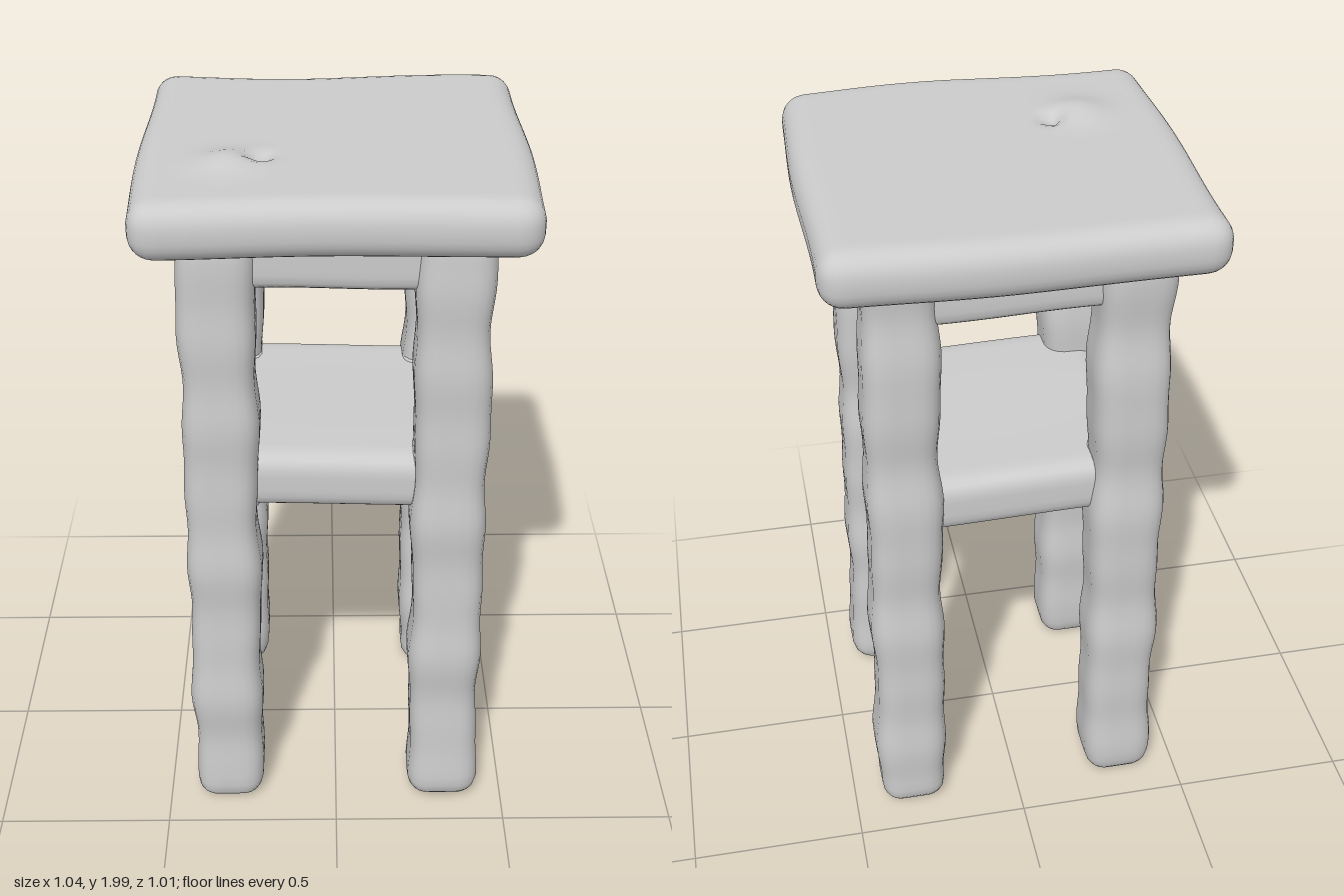
import * as THREE from 'three';
import { mergeVertices } from 'three/addons/utils/BufferGeometryUtils.js';

const material = new THREE.MeshStandardMaterial({ color: 0xcccccc });

// A finely divided box with rounded edges; warp(v) then bends each point.
function softBox(name, size, center, radius, segments, warp) {
  const geo = new THREE.BoxGeometry(...size, ...segments);
  geo.deleteAttribute('uv');
  geo.deleteAttribute('normal');
  const half = new THREE.Vector3(...size).multiplyScalar(0.5).subScalar(radius);
  const low = half.clone().negate();
  const c = new THREE.Vector3(...center);
  const p = geo.attributes.position;
  const v = new THREE.Vector3();
  const inner = new THREE.Vector3();
  for (let i = 0; i < p.count; i++) {
    v.fromBufferAttribute(p, i);
    inner.copy(v).clamp(low, half);
    v.sub(inner).setLength(radius).add(inner).add(c);
    warp(v);
    p.setXYZ(i, v.x, v.y, v.z);
  }
  const merged = mergeVertices(geo);
  merged.computeVertexNormals();
  const mesh = new THREE.Mesh(merged, material);
  mesh.name = name;
  return mesh;
}

export function createModel() {
  const stool = new THREE.Group();
  stool.name = 'stool';

  // Thick seat with wavy rim, a small lump and a dimple on top
  stool.add(softBox('seat', [1.03, 0.155, 1.0], [0, 1.9, -0.003], 0.065, [48, 8, 48], (v) => {
    const { x, z } = v;
    v.x += 0.006 * Math.sin(7 * z + 1) * Math.sign(x);
    v.z += 0.005 * Math.sin(8 * x) * Math.sign(z);
    v.y += 0.005 * Math.sin(6 * x + 2 * z);
    if (v.y > 1.9) {
      v.y += 0.024 * Math.exp(-((x + 0.27) ** 2 + (z - 0.2) ** 2) / 0.006);
      v.y -= 0.03 * Math.exp(-((x + 0.19) ** 2 + (z - 0.17) ** 2) / 0.0008);
    }
  }));

  // Four lumpy hand-hewn legs, spreading slightly toward the floor
  for (const [sx, sz, phase] of [[1, 1, 0], [-1, 1, 2], [1, -1, 4], [-1, -1, 5.5]]) {
    const leg = softBox('leg', [0.2, 1.87, 0.2], [sx * 0.312, 0.94, sz * 0.312], 0.06, [8, 60, 8], (v) => {
      const y = v.y;
      const lump = 0.035 * Math.sin(15 * y + phase) + 0.025 * Math.sin(27 * y + 2 * phase);
      const splay = 0.009 * (1 - y);
      const cx = sx * 0.312, cz = sz * 0.312;
      v.x = cx + (v.x - cx) * (1 + lump) + sx * splay;
      v.z = cz + (v.z - cz) * (1 + lump) + sz * splay;
      v.x += 0.003 * Math.sin(11 * y + phase * 3);
      v.z += 0.003 * Math.sin(13 * y + phase);
    });
    stool.add(leg);
  }

  // Apron rails under the seat
  for (const s of [1, -1]) {
    const wave = (v) => { v.y += 0.004 * Math.sin(9 * (v.x + v.z)); };
    stool.add(softBox('apronRail', [0.6, 0.17, 0.14], [0, 1.775, s * 0.3], 0.035, [24, 8, 8], wave));
    stool.add(softBox('apronRail', [0.14, 0.17, 0.6], [s * 0.3, 1.775, 0], 0.035, [8, 8, 24], wave));
  }

  // Solid lower shelf between the legs
  stool.add(softBox('shelf', [0.71, 0.165, 0.71], [0, 1.1, 0], 0.05, [28, 8, 28], (v) => {
    v.y += 0.006 * Math.sin(5 * v.x + 3) + 0.003 * Math.sin(8 * v.z);
  }));

  // Soft fillets where shelf and apron meet the inner leg corners
  for (const sx of [1, -1]) for (const sz of [1, -1]) for (const y of [1.1, 1.78]) {
    stool.add(softBox('joint', [0.17, 0.2, 0.17], [sx * 0.28, y, sz * 0.28], 0.06, [6, 6, 6], () => {}));
  }

  return stool;
}
